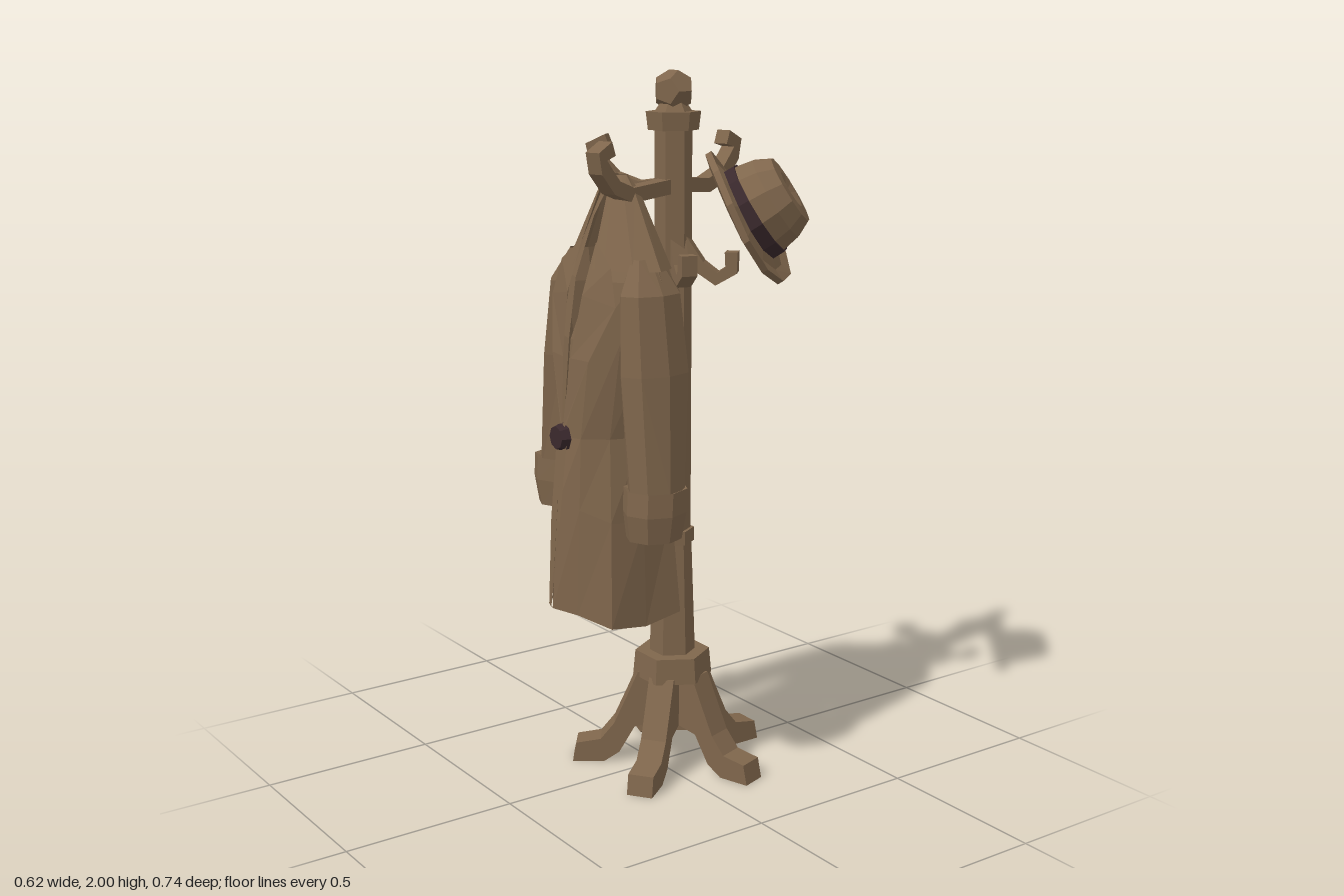
import * as THREE from 'three';

const cloth = new THREE.MeshStandardMaterial({ color: 0x7f664c, flatShading: true, side: THREE.DoubleSide });
cloth.name = 'brown';
const dark = new THREE.MeshStandardMaterial({ color: 0x3a292d, flatShading: true, side: THREE.DoubleSide });
dark.name = 'dark plum';

const POLE_Z = -0.058;

function add(parent, name, geometry, material = cloth, x = 0, y = 0, z = 0) {
  const mesh = new THREE.Mesh(geometry, material);
  mesh.name = name;
  mesh.position.set(x, y, z);
  parent.add(mesh);
  return mesh;
}

// Skin a list of cross-sections, each a list of [x, y, z]
function loft(rings, closed, capEnd = false) {
  const n = rings[0].length, pos = rings.flat(2), idx = [];
  const last = closed ? n : n - 1;
  for (let r = 0; r < rings.length - 1; r++) {
    for (let i = 0; i < last; i++) {
      const a = r * n + i, b = r * n + (i + 1) % n;
      idx.push(a, b, a + n, b, b + n, a + n);
    }
  }
  const end = (rings.length - 1) * n;
  if (capEnd) for (let i = 1; i < n - 1; i++) idx.push(end, end + i, end + i + 1);
  const g = new THREE.BufferGeometry();
  g.setAttribute('position', new THREE.Float32BufferAttribute(pos, 3));
  g.setIndex(idx);
  const flat = g.toNonIndexed();
  flat.computeVertexNormals();
  return flat;
}

// Side outline (radius, height) given a thickness
function slab(outline, depth) {
  const shape = new THREE.Shape(outline.map(([x, y]) => new THREE.Vector2(x, y)));
  return new THREE.ExtrudeGeometry(shape, { depth, bevelEnabled: false }).translate(0, 0, -depth / 2);
}

// Bent bar of even thickness along a path of (radius, height)
function bar(path, half, depth) {
  const left = [], right = [];
  path.forEach(([x, y], i) => {
    const p = path[Math.max(0, i - 1)], q = path[Math.min(path.length - 1, i + 1)];
    const dx = q[0] - p[0], dy = q[1] - p[1], l = Math.hypot(dx, dy);
    left.push([x - dy / l * half, y + dx / l * half]);
    right.unshift([x + dy / l * half, y - dx / l * half]);
  });
  return slab([...right, ...left], depth);
}

function hexPart(parent, name, rTop, rBottom, y0, y1) {
  const g = new THREE.CylinderGeometry(rTop, rBottom, y1 - y0, 6).rotateY(Math.PI / 6);
  add(parent, name, g, cloth, 0, (y0 + y1) / 2, 0);
}

function buildStand() {
  const stand = new THREE.Group();
  stand.name = 'stand';
  stand.position.z = POLE_Z;
  hexPart(stand, 'lowerPole', 0.054, 0.074, 0.11, 0.69);
  hexPart(stand, 'upperPole', 0.052, 0.052, 0.69, 1.85);
  hexPart(stand, 'poleRing', 0.062, 0.062, 0.67, 0.71);
  hexPart(stand, 'baseCollar', 0.108, 0.115, 0.265, 0.34);
  hexPart(stand, 'topCollar', 0.076, 0.07, 1.84, 1.89);
  hexPart(stand, 'finialNeck', 0.035, 0.052, 1.89, 1.915);
  add(stand, 'finial', new THREE.DodecahedronGeometry(0.059), cloth, 0, 1.945, 0);

  // Five splayed legs
  const leg = slab([[0.03, 0.28], [0.1, 0.28], [0.13, 0.21], [0.17, 0.12], [0.21, 0.07],
    [0.28, 0.058], [0.292, 0], [0.2, 0], [0.155, 0.03], [0.11, 0.11], [0.03, 0.13]], 0.075);
  for (let i = 0; i < 5; i++) add(stand, 'leg', leg).rotation.y = -(0.3 + i * 0.4) * Math.PI;

  // Tall hooks: reach and direction
  for (const [R, dx, dz] of [[0.225, -0.16, 0.15], [0.335, 0.1, 0.31], [0.265, -0.07, -0.25]]) {
    const path = [[0.02, 1.69], [R - 0.13, 1.68], [R - 0.06, 1.705], [R - 0.012, 1.755], [R, 1.79], [R - 0.045, 1.808]];
    add(stand, 'upperHook', bar(path, 0.02, 0.045)).rotation.y = -Math.atan2(dz, dx);
  }
  // Small hooks lower down
  for (const [deg, R] of [[-45, 0.165], [225, 0.155], [165, 0.11], [15, 0.11]]) {
    const path = [[0.02, 1.55], [0.45 * R, 1.47], [0.75 * R, 1.435], [R, 1.46], [R, 1.51]];
    add(stand, 'lowerHook', bar(path, 0.018, 0.045)).rotation.y = -deg * Math.PI / 180;
  }
  return stand;
}

// Half of the coat's outline from front edge to back: (side, depth)
const HALF = [[0, 1], [0.42, 0.93], [0.8, 0.72], [1, 0.42], [0.8, 0.12], [0.4, 0]];

// Open cross-section: width, back z, front z, front gap, fold depth, centre x
function coatSection([y, w, zb, zf, gap, fold = 0, cx = 0]) {
  const side = s => HALF.map(([u, v], i) => {
    const f = i % 2 ? -fold : fold;
    const hem = fold ? 0.2 * (v - 0.45) ** 2 - s * 0.012 : 0;
    return [cx + s * (Math.max(gap, u * w) + f * u), y + hem, zb + (zf - zb) * v + f * (v - 0.4)];
  });
  return [...side(1), [cx, y + (fold ? 0.04 : 0), zb + 0.012], ...side(-1).reverse()];
}

function sleeveRing([x, y, z, rx, rz], s) {
  return Array.from({ length: 8 }, (_, i) => {
    const a = i / 8 * Math.PI * 2;
    return [s * (x + rx * Math.cos(a)), y, z + rz * Math.sin(a)];
  });
}

function buildCoat() {
  const coat = new THREE.Group();
  coat.name = 'coat';
  add(coat, 'coatBody', loft([
    [1.71, 0.05, 0.11, 0.15, 0],
    [1.62, 0.105, 0.08, 0.19, 0.03, 0, 0.01],
    [1.46, 0.195, 0.04, 0.25, 0.035, 0, 0.015],
    [1.3, 0.165, 0.02, 0.29, 0.004, 0, 0.01],
    [1.03, 0.13, 0.012, 0.308, 0],
    [0.8, 0.14, 0.002, 0.328, 0, 0.01, 0.01],
    [0.505, 0.15, -0.015, 0.35, 0, 0.018, 0.017],
  ].map(coatSection), false));

  // Turned-down collar reaching the shoulders
  add(coat, 'collar', loft([
    [1.73, 0.045, 0.112, 0.148, 0],
    [1.69, 0.075, 0.09, 0.175, 0.02, 0, 0.005],
    [1.49, 0.195, 0.042, 0.25, 0.045, 0, 0.012],
  ].map(coatSection), false));

  // Lapels, sleeves and cuffs on both sides
  for (const s of [1, -1]) {
    const m = ([x, y, z]) => [s * x + 0.008, y, z];
    const edge = [[0.035, 1.56, 0.225], [0.036, 1.42, 0.272], [0.018, 1.25, 0.3], [0, 1.05, 0.316]].map(m);
    const tip = [[0.12, 1.5, 0.235], [0.155, 1.4, 0.245], [0.09, 1.25, 0.288], [0.006, 1.05, 0.316]].map(m);
    add(coat, 'lapel', loft([edge, tip], false));
    add(coat, 'sleeve', loft([
      [0.15, 1.52, 0.14, 0.025, 0.045],
      [0.172, 1.43, 0.14, 0.06, 0.095],
      [0.192, 1.22, 0.14, 0.07, 0.108],
      [0.222, 0.9, 0.155, 0.066, 0.085],
    ].map(r => sleeveRing(r, s)), true));
    add(coat, 'cuff', loft([
      [0.224, 0.905, 0.16, 0.06, 0.07],
      [0.227, 0.915, 0.162, 0.083, 0.09],
      [0.228, 0.85, 0.165, 0.082, 0.09],
      [0.224, 0.775, 0.165, 0.073, 0.078],
      [0.224, 0.8, 0.165, 0.058, 0.062],
    ].map(r => sleeveRing(r, s)), true, true));
  }

  // Overlapping front edge and its button
  add(coat, 'frontPlacket', loft([
    [[-0.03, 1.05, 0.308], [0.03, 1.05, 0.313]],
    [[-0.025, 0.8, 0.335], [0.03, 0.8, 0.342]],
    [[-0.01, 0.56, 0.355], [0.025, 0.56, 0.37]],
  ], false));
  add(coat, 'button', new THREE.CylinderGeometry(0.032, 0.04, 0.025, 8).rotateX(Math.PI / 2), dark, 0, 1.03, 0.32);
  return coat;
}

function buildHat() {
  const hat = new THREE.Group();
  hat.name = 'hat';
  const lathe = pts => new THREE.LatheGeometry(pts.map(p => new THREE.Vector2(...p)), 12);

  // Brim dips along one axis and lifts along the other
  const brim = lathe([[0.125, 0], [0.17, -0.012], [0.208, -0.004], [0.208, 0.014], [0.17, 0.008], [0.125, 0.02]]);
  const p = brim.attributes.position;
  for (let i = 0; i < p.count; i++) {
    const x = p.getX(i), z = p.getZ(i);
    p.setY(i, p.getY(i) + (z * z - x * x) * 0.3);
  }
  add(hat, 'brim', brim);

  // Crown with a pinched top
  const crown = lathe([[0.134, -0.01], [0.134, 0.05], [0.124, 0.1], [0.1, 0.145], [0.055, 0.148], [0, 0.13]]);
  add(hat, 'crown', crown);
  add(hat, 'hatBand', lathe([[0.14, 0.005], [0.139, 0.05], [0.13, 0.05]]), dark);

  hat.position.set(0.14, 1.605, -0.2);
  hat.quaternion.setFromUnitVectors(new THREE.Vector3(0, 1, 0), new THREE.Vector3(0.57, 0.52, -0.6).normalize());
  return hat;
}

export function createModel() {
  const model = new THREE.Group();
  model.name = 'coatStand';
  model.add(buildStand(), buildCoat(), buildHat());
  return model;
}
